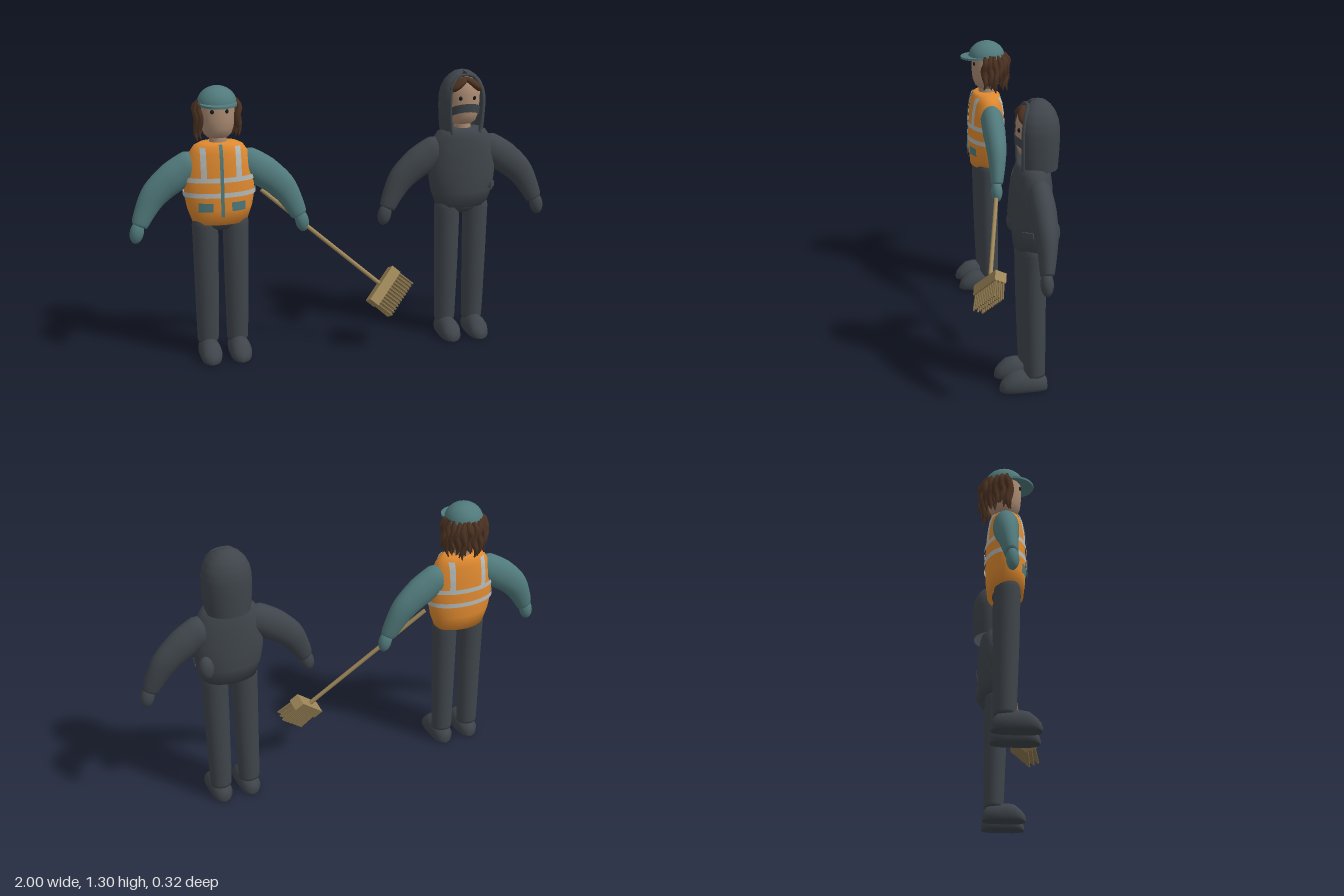
import * as THREE from 'three';
import { mergeVertices } from 'three/addons/utils/BufferGeometryUtils.js';

const flat = (name, color) => new THREE.MeshStandardMaterial({ name, color, side: THREE.DoubleSide });
const mats = {
  charcoal: flat('charcoal cloth', 0x3f454b),
  orange: flat('orange vest', 0xe08a30),
  teal: flat('teal cloth', 0x517a7c),
  silver: flat('reflective silver', 0xb4b9b7),
  skin: flat('skin', 0xaa8a72),
  brown: flat('brown hair', 0x4c3222),
  wood: flat('broom wood', 0x9e8658),
  bristle: flat('bristle', 0x84704a),
  black: flat('eye black', 0x17181a),
};

function add(parent, name, geometry, mat, pos = [0, 0, 0], scale = [1, 1, 1], rot = [0, 0, 0]) {
  const mesh = new THREE.Mesh(geometry, mat);
  mesh.name = name;
  mesh.position.set(...pos);
  mesh.scale.set(...scale);
  mesh.rotation.set(...rot);
  parent.add(mesh);
  return mesh;
}
const ball = new THREE.SphereGeometry(1, 24, 16);

// Smooth surface from fn(u, v) -> [x, y, z], u and v in 0..1
function grid(nu, nv, fn) {
  const pos = [], index = [];
  for (let j = 0; j <= nv; j++) for (let i = 0; i <= nu; i++) pos.push(...fn(i / nu, j / nv));
  for (let j = 0; j < nv; j++) for (let i = 0; i < nu; i++) {
    const a = j * (nu + 1) + i, b = a + nu + 1;
    index.push(a, a + 1, b + 1, a, b + 1, b);
  }
  let g = new THREE.BufferGeometry();
  g.setAttribute('position', new THREE.Float32BufferAttribute(pos, 3));
  g.setIndex(index);
  g = mergeVertices(g, 1e-5);
  g.computeVertexNormals();
  return g;
}

// Linear lookup in equally spaced rows
function sample(rows, t) {
  const k = Math.min(t * (rows.length - 1), rows.length - 1.000001), i = Math.floor(k);
  return rows[i].map((v, n) => v + (rows[i + 1][n] - v) * (k - i));
}

// Round limb through points [x, y, z, radius], depth scaled by sz
function sweep(points, sz = 1, sides = 16, steps = 20) {
  const curve = new THREE.CatmullRomCurve3(points.map(p => new THREE.Vector3(p[0], p[1], p[2])));
  const radii = points.map(p => [p[3]]), axis = new THREE.Vector3(0, 0, 1);
  return grid(sides, steps, (u, v) => {
    const c = curve.getPoint(v), t = curve.getTangent(v), a = u * Math.PI * 2;
    const n = axis.clone().cross(t).normalize(), b = t.clone().cross(n), r = sample(radii, v)[0];
    return c.addScaledVector(n, r * Math.cos(a)).addScaledVector(b, r * sz * Math.sin(a)).toArray();
  });
}

// Upright body with elliptical sections: rows of [y, half width, half depth]
function body(rows, zc) {
  const size = y => {
    let i = 0;
    while (i < rows.length - 2 && y > rows[i + 1][0]) i++;
    const t = THREE.MathUtils.clamp((y - rows[i][0]) / (rows[i + 1][0] - rows[i][0]), 0, 1);
    return [1, 2].map(n => THREE.MathUtils.lerp(rows[i][n], rows[i + 1][n], t));
  };
  const at = (y, phi, off = 0) => {
    const [a, d] = size(y);
    return [(a + off) * Math.sin(phi), y, zc + (d + off) * Math.cos(phi)];
  };
  return {
    skin: () => grid(40, rows.length - 1, (u, v) => {
      const [y, a, d] = sample(rows, v);
      return [a * Math.sin(u * 2 * Math.PI), y, zc + d * Math.cos(u * 2 * Math.PI)];
    }),
    // band around the body between two angles; mid gives its height
    band: (p0, p1, mid, half, off = 0.006) => grid(48, 2, (u, v) => {
      const phi = p0 + (p1 - p0) * u;
      return at(mid(phi) + half * (2 * v - 1), phi, off);
    }),
    // upright strip of constant x, on the front or the back
    strip: (x0, x1, y0, y1, back, off = 0.006) => grid(4, 14, (u, v) => {
      const y = y0 + (y1 - y0) * v;
      const phi = Math.asin(THREE.MathUtils.clamp((x0 + (x1 - x0) * u) / (size(y)[0] + off), -1, 1));
      return at(y, back ? Math.PI - phi : phi, off);
    }),
  };
}
const torso = body([[0.645, 0, 0], [0.65, 0.125, 0.078], [0.72, 0.15, 0.085], [0.78, 0.161, 0.087], [0.84, 0.163, 0.086],
  [0.92, 0.155, 0.083], [0.98, 0.133, 0.076], [1.01, 0.112, 0.068], [1.023, 0.085, 0.055], [1.027, 0, 0]], -0.04);
const head = body([[1.04, 0, 0], [1.045, 0.048, 0.04], [1.06, 0.063, 0.058], [1.09, 0.073, 0.07], [1.13, 0.078, 0.074],
  [1.19, 0.08, 0.075], [1.23, 0.07, 0.066], [1.255, 0.045, 0.045], [1.268, 0, 0]], -0.045);

// Shoe sections: z, half width, height
const shoeRows = [[-0.102, 0, 0.03], [-0.097, 0.025, 0.05], [-0.075, 0.044, 0.075], [-0.03, 0.05, 0.088], [0.02, 0.051, 0.092],
  [0.055, 0.05, 0.086], [0.085, 0.042, 0.06], [0.103, 0.026, 0.04], [0.111, 0, 0.02]];
const shoe = grid(24, shoeRows.length - 1, (u, v) => {
  const [z, w, h] = sample(shoeRows, v), a = u * Math.PI * 2;
  return [w * Math.cos(a), Math.max(0, h * (0.35 + 0.65 * Math.sin(a))), z];
});

// Parts shared by both people
function person(name, x, top, sleeve) {
  const g = new THREE.Group();
  g.name = name;
  g.position.x = x;
  add(g, 'torso', torso.skin(), top);
  add(g, 'hips', ball, mats.charcoal, [0, 0.665, -0.035], [0.105, 0.057, 0.065]);
  add(g, 'neck', new THREE.CylinderGeometry(0.038, 0.042, 0.08, 20), mats.skin, [0, 1.035, -0.045]);
  add(g, 'head', head.skin(), mats.skin);
  for (const s of [-1, 1]) {
    add(g, 'leg', sweep([[s * 0.072, 0.69, -0.035, 0.05], [s * 0.071, 0.64, -0.035, 0.061], [s * 0.07, 0.4, -0.037, 0.057],
      [s * 0.07, 0.2, -0.041, 0.053], [s * 0.07, 0.07, -0.044, 0.049], [s * 0.07, 0.069, -0.044, 0]], 0.93, 20, 25), mats.charcoal);
    add(g, 'shoe', shoe, mats.charcoal, [s * 0.07, 0, 0]);
    add(g, 'arm', sweep([[s * 0.08, 0.935, -0.045, 0.04], [s * 0.13, 0.917, -0.046, 0.072], [s * 0.21, 0.867, -0.046, 0.074],
      [s * 0.293, 0.795, -0.044, 0.064], [s * 0.34, 0.72, -0.038, 0.05], [s * 0.37, 0.655, -0.031, 0.037],
      [s * 0.371, 0.653, -0.031, 0]], 0.74, 20, 24), sleeve);
    add(g, 'hand', ball, sleeve, [s * 0.383, 0.625, -0.028], [0.032, 0.053, 0.027], [0, 0, s * 0.2]);
    add(g, 'eye', ball, mats.black, [s * 0.033, 1.172, 0.022], [0.009, 0.01, 0.007]);
  }
  return g;
}

function worker() {
  const g = person('worker', -0.583, mats.orange, mats.teal);
  // reflective stripes, zip and pockets
  for (const y of [0.862, 0.792]) add(g, 'vestBand', torso.band(0, Math.PI * 2, () => y, 0.011), mats.silver);
  for (const s of [-1, 1]) {
    for (const back of [false, true])
      add(g, 'vestStripe', torso.strip(s * 0.08 - 0.013, s * 0.08 + 0.013, 0.87, 1.01, back), mats.silver);
    add(g, 'pocket', torso.strip(s * 0.075 - 0.032, s * 0.075 + 0.032, 0.715, 0.757, false), mats.teal);
  }
  add(g, 'zip', torso.strip(-0.008, 0.008, 0.69, 1.022, false, 0.009), mats.teal);
  // cap
  add(g, 'capCrown', new THREE.SphereGeometry(1, 28, 10, 0, Math.PI * 2, 0, Math.PI / 2), mats.teal, [0, 1.198, -0.045], [0.09, 0.08, 0.09]);
  add(g, 'capBrim', new THREE.CylinderGeometry(1, 1, 1, 32), mats.teal, [0, 1.202, 0.0], [0.083, 0.01, 0.085], [0.03, 0, 0]);
  // wavy locks around the sides and back, in two layers
  for (let layer = 0; layer < 2; layer++) for (let i = 0; i < 14; i++) {
    const phi = 1.25 + (i + layer * 0.5) * (Math.PI * 2 - 2.5) / 13.5, r = 0.097 - layer * 0.012;
    const end = 1.05 + 0.018 * Math.sin(i * 2.3 + layer), rows = [];
    for (let k = 0; k <= 5; k++) {
      const p = phi + 0.07 * Math.sin(k * 2 + i * 1.7), q = r + 0.005 * Math.sin(k * 1.8 + i) - (k ? 0 : 0.02);
      rows.push([q * Math.sin(p), THREE.MathUtils.lerp(1.215, end, k / 5), -0.05 + q * Math.cos(p), [0.01, 0.014, 0.015, 0.014, 0.011, 0.002][k]]);
    }
    add(g, 'hairLock', sweep(rows, 1, 7, 12), mats.brown);
  }
  return g;
}

function hoodedPerson() {
  const g = person('hoodedPerson', 0.583, mats.charcoal, mats.charcoal);
  // hood rows: y, size, half angle of the face opening
  const hoodRows = [[1.0, 0.92, 0.62], [1.06, 0.97, 0.68], [1.12, 1, 0.7], [1.17, 1, 0.7], [1.21, 0.93, 0.7],
    [1.245, 0.78, 0.64], [1.27, 0.58, 0.45], [1.288, 0.34, 0.05], [1.297, 0, 0]];
  const hoodPoint = (row, u) => {
    const [y, s, gap] = row, phi = gap + (Math.PI * 2 - 2 * gap) * u, c = Math.cos(phi), e = c > 0 ? 0.75 : 1;
    const x = Math.sign(Math.sin(phi)) * Math.abs(Math.sin(phi)) ** e;
    return [0.11 * s * x, y, -0.065 + (c > 0 ? 0.095 : 0.09) * s * Math.sign(c) * Math.abs(c) ** e];
  };
  add(g, 'hood', grid(40, 24, (u, v) => hoodPoint(sample(hoodRows, v), u)), mats.charcoal);
  const rim = [...hoodRows.slice(0, 7).map(r => hoodPoint(r, 0)), ...hoodRows.slice(0, 7).reverse().map(r => hoodPoint(r, 1))];
  add(g, 'hoodRim', new THREE.TubeGeometry(new THREE.CatmullRomCurve3(rim.map(p => new THREE.Vector3(...p))), 50, 0.008, 8), mats.charcoal);
  for (const s of [-1, 1])
    add(g, 'sweptHair', ball, mats.brown, [s * 0.038, 1.232, -0.008], [0.052, 0.021, 0.036], [0, 0, -s * 0.62]);
  // moustache with drooping ends
  add(g, 'moustache', head.band(-1, 1, p => 1.128 - 0.022 * p * p, 0.02, 0.007), mats.charcoal);
  // shoulder strap and pouch
  add(g, 'strap', torso.band(0, Math.PI * 2, p => 0.86 - 0.14 * Math.sin(p), 0.014, 0.007), mats.charcoal);
  add(g, 'pouch', ball, mats.charcoal, [0.128, 0.748, -0.1], [0.036, 0.058, 0.036], [0, 0.5, 0]);
  add(g, 'pouchBuckle', new THREE.BoxGeometry(0.05, 0.025, 0.02), mats.charcoal, [0.135, 0.745, 0.0], [1, 1, 1], [0, 0.9, 0]);
  return g;
}

// Broom built along its own -y, then laid along the handle direction
function broom() {
  const g = new THREE.Group();
  g.name = 'broom';
  const down = new THREE.Vector3(0.743, -0.64, 0.196).normalize();
  const along = new THREE.Vector3(0.657, 0.638, -0.403).addScaledVector(down, 0).normalize();
  const up = down.clone().negate(), across = along.clone().cross(up).normalize();
  g.quaternion.setFromRotationMatrix(new THREE.Matrix4().makeBasis(across.clone().cross(up).negate(), up, across));
  g.position.set(0.168, 0.3, 0.07);
  add(g, 'handle', new THREE.CylinderGeometry(0.01, 0.01, 0.74, 12), mats.wood, [0, 0.37, 0]);
  add(g, 'broomBlock', new THREE.BoxGeometry(0.2, 0.05, 0.06), mats.wood);
  for (let i = 0; i < 12; i++) for (let k = -1; k <= 1; k++)
    add(g, 'bristles', new THREE.CylinderGeometry(0.006, 0.0055, 0.085, 6), mats.bristle,
      [-0.093 + i * 0.0169, -0.065, k * 0.021], [1, 1, 1], [-k * 0.06, 0, 0]);
  return g;
}

export function createModel() {
  const model = new THREE.Group();
  model.name = 'workerAndHoodedPerson';
  model.add(worker(), hoodedPerson(), broom());
  return model;
}
